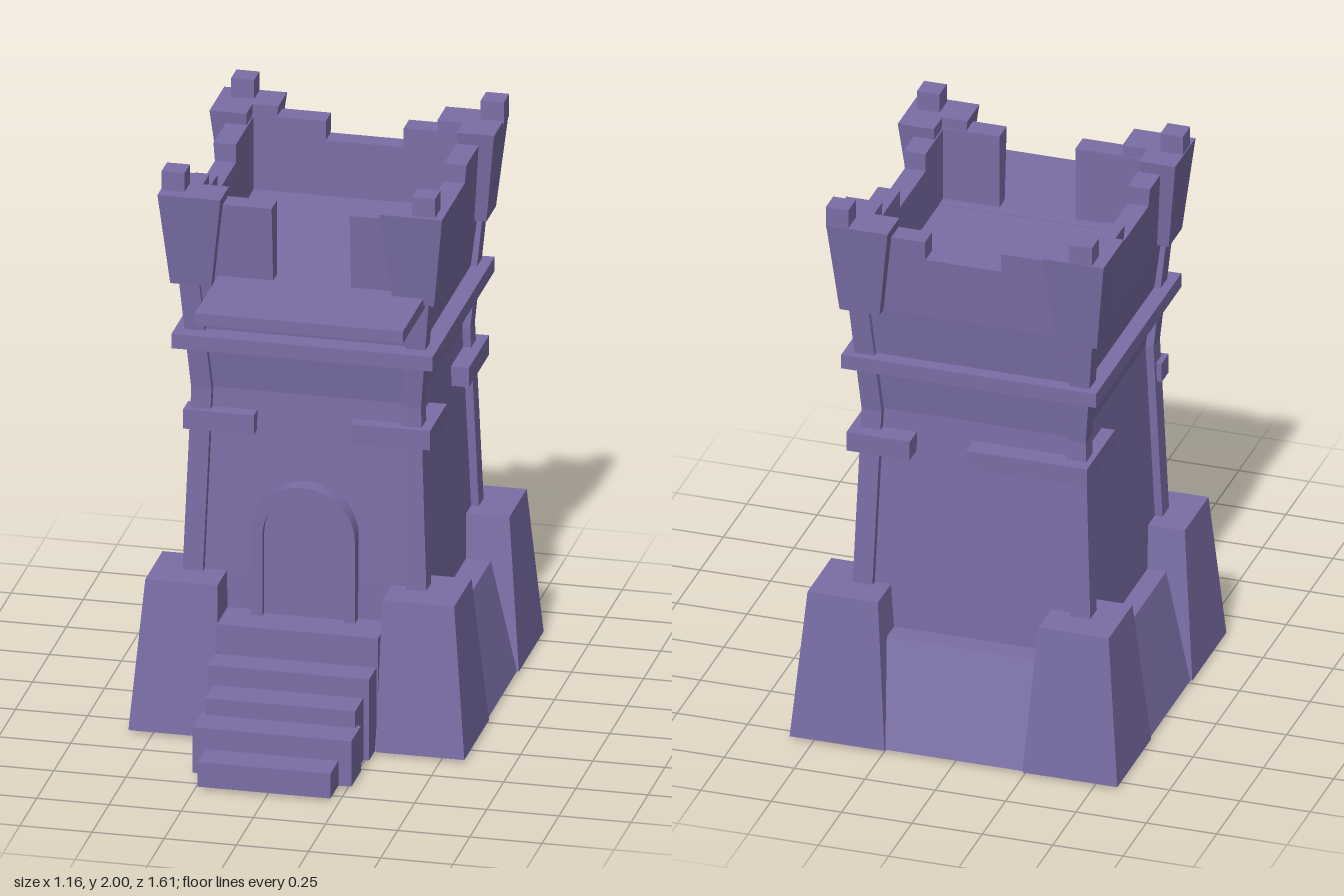
import * as THREE from 'three';

const material = new THREE.MeshStandardMaterial({ color: 0x7a6da6, flatShading: true, side: THREE.DoubleSide });
const CX = -0.01, CZ = -0.22; // tower axis

function add(parent, name, geometry, x = 0, y = 0, z = 0) {
  const mesh = new THREE.Mesh(geometry, material);
  mesh.name = name;
  mesh.position.set(x, y, z);
  parent.add(mesh);
  return mesh;
}

// box given by its limits
function block(parent, name, x0, x1, y0, y1, z0, z1) {
  return add(parent, name, new THREE.BoxGeometry(x1 - x0, y1 - y0, z1 - z0),
    (x0 + x1) / 2, (y0 + y1) / 2, (z0 + z1) / 2);
}

// skin over sections { y, ring: [[x, z], ...] } from bottom to top
function loft(sections, capBottom = true, capTop = true) {
  const rings = sections.map(s => s.ring.map(p => new THREE.Vector2(...p)));
  if (THREE.ShapeUtils.area(rings[0]) < 0) rings.forEach(r => r.reverse());
  const n = rings[0].length, pos = [], idx = [];
  rings.forEach((r, i) => r.forEach(p => pos.push(p.x, sections[i].y, p.y)));
  for (let i = 0; i < rings.length - 1; i++) {
    for (let j = 0; j < n; j++) {
      const a = i * n + j, b = i * n + (j + 1) % n;
      idx.push(a, a + n, b, b, a + n, b + n);
    }
  }
  const top = (rings.length - 1) * n;
  if (capBottom) THREE.ShapeUtils.triangulateShape(rings[0], []).forEach(f => idx.push(...f));
  if (capTop) THREE.ShapeUtils.triangulateShape(rings.at(-1), []).forEach(([a, b, c]) => idx.push(top + a, top + c, top + b));
  const g = new THREE.BufferGeometry();
  g.setAttribute('position', new THREE.Float32BufferAttribute(pos, 3));
  g.setIndex(idx);
  const flat = g.toNonIndexed();
  flat.computeVertexNormals();
  return flat;
}

const rect = (x0, x1, z0, z1) => [[x0, z0], [x1, z0], [x1, z1], [x0, z1]];
const square = h => rect(-h, h, -h, h);

export function createModel() {
  const model = new THREE.Group();
  model.name = 'castleTower';

  // tower body, narrow at the waist and flaring to the top
  add(model, 'towerWall', loft([[0, 0.405], [0.55, 0.395], [1.2, 0.37], [1.6, 0.415]]
    .map(([y, h]) => ({ y, ring: square(h) })), false, false), CX, 0, CZ);

  // sloping skirt between the corner buttresses
  add(model, 'baseSkirt', loft([[0.01, 0.575], [0.387, 0.475], [0.387, 0.38]]
    .map(([y, h]) => ({ y, ring: square(h) })), false, false), 0, 0, CZ);

  // finial centres and heights differ a little from corner to corner
  const finials = [[-0.42, -0.67], [0.445, -0.67], [-0.46, 0.185], [0.415, 0.215]];
  let corner = 0;
  for (const sz of [-1, 1]) for (const sx of [-1, 1]) {
    const mirror = ring => ring.map(([x, z]) => [sx * x, sz * z]);

    // tapered buttress at the foot
    const inner = sz < 0 ? 0.245 : 0.275;
    add(model, 'buttress', loft([
      { y: 0.01, ring: mirror(rect(inner, 0.582, 0.22, 0.585)) },
      { y: 0.545, ring: mirror(rect(0.285, 0.535, 0.28, 0.535)) },
    ], false, true), 0, 0, CZ);

    // corner post following the wall
    add(model, 'cornerPost', loft([[0, 0.43], [0.55, 0.422], [1.2, 0.398], [1.65, 0.437]]
      .map(([y, o]) => ({ y, ring: mirror(rect(o - 0.07, o, o - 0.07, o)) }))), CX, 0, CZ);

    // L-shaped turret hugging the parapet corner
    const ell = (o, a) => mirror([[o, o], [a, o], [a, 0.365], [0.365, 0.365], [0.365, a], [o, a]]);
    add(model, 'turret', loft([
      { y: 1.6, ring: ell(0.457, 0.315) },
      { y: 1.932, ring: ell(0.493, 0.275) },
    ]), CX, 0, CZ);

    const [fx, fz] = finials[corner++];
    block(model, 'finial', fx - 0.04, fx + 0.04, 1.92, 2, fz - 0.04, fz + 0.04);
  }

  // parapet: runs of [start, end, top] on each side
  const notched = [[-0.41, -0.11, 1.895], [-0.11, 0.16, 1.825], [0.16, 0.41, 1.895]];
  const sides = [
    ['front', 0, [notched[0], notched[2]]],
    ['leftSide', Math.PI / 2, [[-0.41, -0.17, 1.89], [-0.17, 0.1, 1.825], [0.1, 0.41, 1.89]]],
    ['back', Math.PI, notched.map(([a, b, y]) => [-b, -a, y])],
    ['rightSide', -Math.PI / 2, [[-0.41, -0.1, 1.89], [-0.1, 0.17, 1.825], [0.17, 0.41, 1.89]]],
  ];
  for (const [name, angle, runs] of sides) {
    const side = new THREE.Group();
    side.name = name + 'Parapet';
    side.position.set(CX, 0, CZ);
    side.rotation.y = angle;
    for (const [a, b, y] of runs) {
      add(side, 'merlon', loft([
        { y: 1.6, ring: rect(a, b, 0.36, 0.415) },
        { y, ring: rect(a, b, 0.36, 0.415 + (y - 1.6) * 0.08) },
      ]));
    }
    model.add(side);
  }

  // roof floor and front balcony
  block(model, 'roofFloor', -0.41, 0.39, 1.585, 1.624, -0.62, 0.18);
  block(model, 'balcony', -0.31, 0.41, 1.583, 1.626, 0.1, 0.54);

  // belt course around the tower
  block(model, 'beltFront', -0.46, 0.445, 1.368, 1.42, 0.15, 0.25);
  block(model, 'beltBack', -0.46, 0.445, 1.368, 1.42, -0.665, -0.59);
  block(model, 'beltRight', -0.46, -0.37, 1.368, 1.42, -0.66, 0.24);
  block(model, 'beltLeft', 0.36, 0.445, 1.368, 1.42, -0.66, 0.24);

  // short corner straps at the waist: x0, x1, z0, z1
  const straps = [
    [-0.43, -0.185, 0.13, 0.205], [0.15, 0.425, 0.13, 0.205], [0.34, 0.425, -0.045, 0.2],
    [0.34, 0.425, -0.67, -0.37], [0.2, 0.42, -0.67, -0.58],
    [-0.43, 0, -0.67, -0.58], [-0.43, -0.36, -0.665, -0.37],
  ];
  for (const [x0, x1, z0, z1] of straps) block(model, 'strap', x0, x1, 1.06, 1.13, z0, z1);

  // arched door frame and door leaf
  const arch = (r, path) => {
    path.moveTo(r, 0.4);
    path.lineTo(r, 0.71);
    path.absarc(0, 0.71, r, 0, Math.PI, false);
    path.lineTo(-r, 0.4);
    path.closePath();
    return path;
  };
  const frame = arch(0.18, new THREE.Shape());
  frame.holes.push(arch(0.14, new THREE.Path()));
  add(model, 'doorFrame', new THREE.ExtrudeGeometry(frame, { depth: 0.085, bevelEnabled: false, curveSegments: 14 }), CX, 0, 0.14);
  add(model, 'door', new THREE.ExtrudeGeometry(arch(0.145, new THREE.Shape()), { depth: 0.06, bevelEnabled: false, curveSegments: 14 }), CX, 0, 0.14);

  // front steps: x0, x1, top, z0, z1
  const steps = [
    [-0.24, 0.22, 0.1, 0.66, 0.8], [-0.285, 0.265, 0.175, 0.54, 0.682],
    [-0.27, 0.25, 0.235, 0.42, 0.562], [-0.29, 0.27, 0.305, 0.3, 0.442],
    [-0.285, 0.275, 0.412, 0.16, 0.335],
  ];
  for (const [x0, x1, y, z0, z1] of steps) {
    const ring = rect(x0, x1, z0, z1);
    add(model, 'step', loft([{ y: 0.01, ring }, { y, ring }], false, true));
  }
  return model;
}
